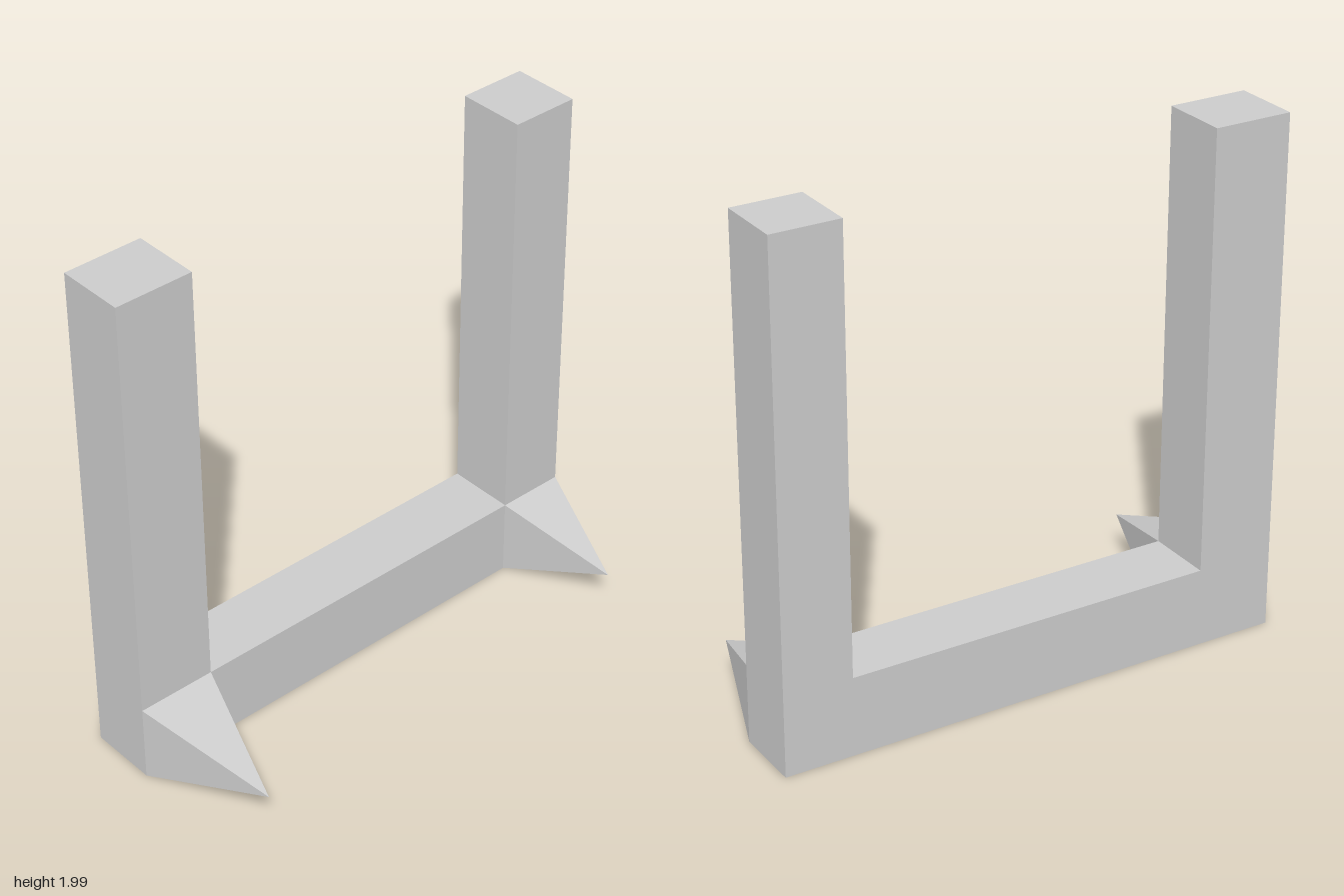
import * as THREE from 'three';

const BACK = -0.38, FRONT = -0.115, BAR_H = 0.305;

// x range, height and spike tip depth of each upright
const SIDES = [
  { name: 'right', x0: -1, x1: -0.695, top: 1.987, tip: 0.38 },
  { name: 'left', x0: 0.735, x1: 1, top: 1.963, tip: 0.31 },
];

export function createModel() {
  const group = new THREE.Group();
  group.name = 'uprightFrame';
  const material = new THREE.MeshStandardMaterial({ color: 0xcccccc, flatShading: true });

  const add = (name, geometry) => {
    const mesh = new THREE.Mesh(geometry, material);
    mesh.name = name;
    group.add(mesh);
  };

  // U-shaped frame: two posts joined by a crossbar
  const [r, l] = SIDES;
  const outline = new THREE.Shape([
    [r.x0, 0], [l.x1, 0], [l.x1, l.top], [l.x0, l.top],
    [l.x0, BAR_H], [r.x1, BAR_H], [r.x1, r.top], [r.x0, r.top],
  ].map(([x, y]) => new THREE.Vector2(x, y)));
  const frame = new THREE.ExtrudeGeometry(outline, { depth: FRONT - BACK, bevelEnabled: false });
  add('frame', frame.translate(0, 0, BACK));

  // Pyramid spike pointing forward from the foot of each post
  for (const { name, x0, x1, tip } of SIDES) {
    const spike = new THREE.ConeGeometry(Math.SQRT1_2, 1, 4, 1, true)
      .rotateY(Math.PI / 4)
      .rotateX(Math.PI / 2)
      .scale(x1 - x0, BAR_H, tip - FRONT)
      .translate((x0 + x1) / 2, BAR_H / 2, (tip + FRONT) / 2);
    add(name + 'Spike', spike);
  }

  return group;
}
